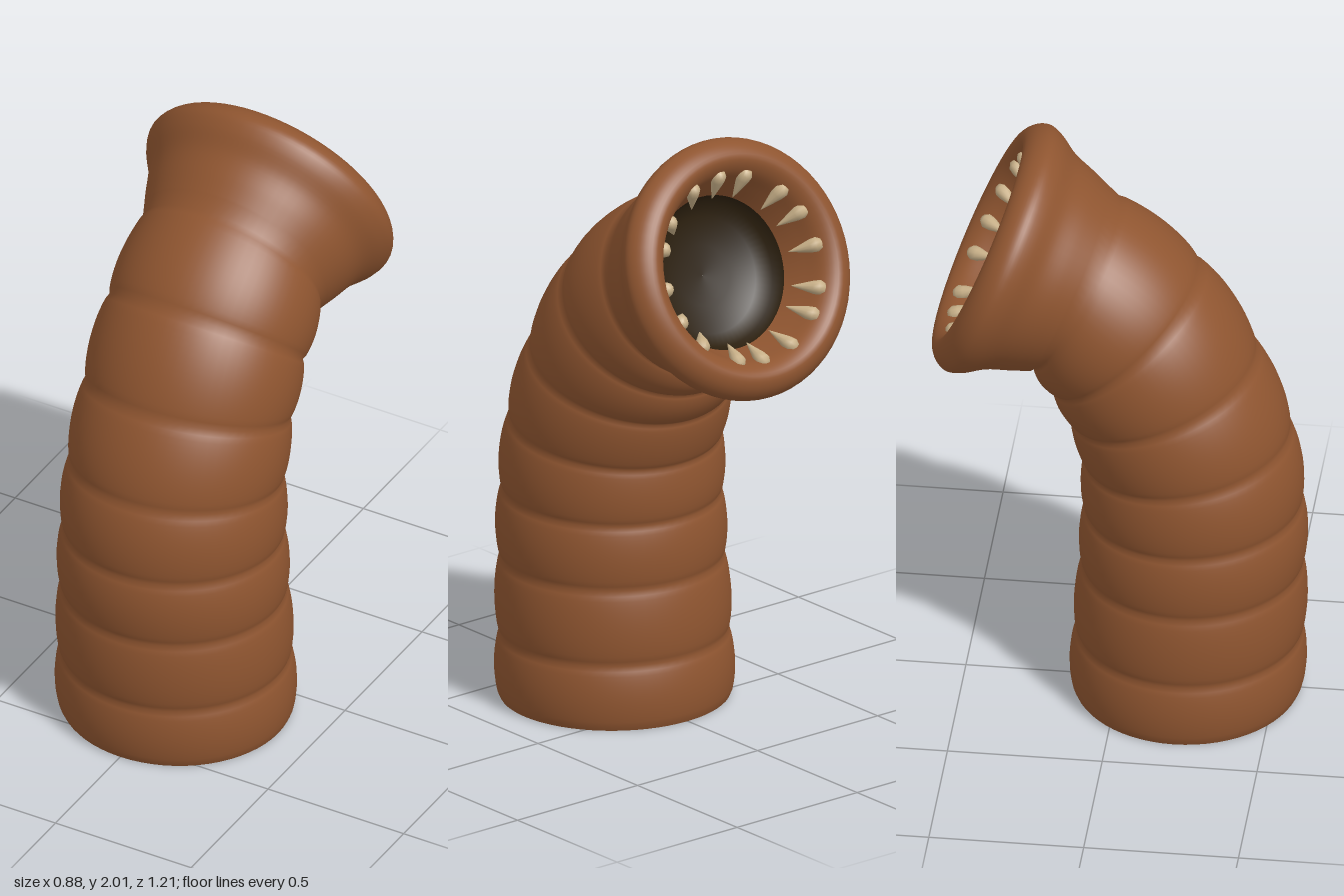
import * as THREE from 'three';

const SIDES = 64;
const V2 = (x, y) => new THREE.Vector2(x, y);
const V3 = (x, y, z) => new THREE.Vector3(x, y, z);

// Ring description: centre (z, y), elevation of the body axis in degrees, radii
const ring = (z, y, angle, rx, rn) => ({ z, y, a: THREE.MathUtils.degToRad(angle), rx, rn });

// Skin a list of elliptical rings with a smooth closed tube
function loft(rings) {
  const pos = [], idx = [];
  for (const { z, y, a, rx, rn } of rings) {
    for (let j = 0; j < SIDES; j++) {
      const t = (j / SIDES) * Math.PI * 2;
      const n = rn * Math.sin(t);
      pos.push(rx * Math.cos(t), y + n * Math.cos(a), z + n * Math.sin(a));
    }
  }
  for (let i = 0; i < rings.length - 1; i++) {
    for (let j = 0; j < SIDES; j++) {
      const k = (j + 1) % SIDES;
      const a = i * SIDES + j, b = i * SIDES + k;
      const c = a + SIDES, d = b + SIDES;
      idx.push(a, c, b, b, c, d);
    }
  }
  const geo = new THREE.BufferGeometry();
  geo.setAttribute('position', new THREE.Float32BufferAttribute(pos, 3));
  geo.setIndex(idx);
  geo.computeVertexNormals();
  return geo;
}

// Grooves between body segments: z, y, axis angle, half width, half depth
const GROOVES = [
  [0.215, 0, 90, 0.376, 0.364],
  [0.222, 0.215, 90, 0.370, 0.360],
  [0.232, 0.47, 89.5, 0.362, 0.352],
  [0.235, 0.695, 87.5, 0.354, 0.346],
  [0.215, 0.92, 81, 0.345, 0.333],
  [0.14, 1.145, 69, 0.337, 0.318],
  [0.02, 1.35, 49, 0.330, 0.312],
  [-0.142, 1.51, 27, 0.318, 0.302],
];

// Mouth frame
const HEAD = { z: -0.4, y: 1.62, angle: 23 };
const headRing = (d, r) => {
  const a = THREE.MathUtils.degToRad(HEAD.angle);
  return ring(HEAD.z - d * Math.cos(a), HEAD.y + d * Math.sin(a), HEAD.angle, r * 1.03, r);
};

function bodyRings() {
  const rings = [];
  const path = new THREE.CatmullRomCurve3(GROOVES.map(g => V3(0, g[1], g[0])), false, 'catmullrom');
  const size = new THREE.CatmullRomCurve3(GROOVES.map(g => V3(g[2], g[3], g[4])), false, 'catmullrom');
  const segments = GROOVES.length - 1, steps = 14;
  for (let i = 0; i <= segments * steps; i++) {
    const t = i / (segments * steps);
    const p = path.getPoint(t), s = size.getPoint(t);
    // Each segment swells quickly out of its groove
    const swell = 0.018 * Math.pow(Math.abs(Math.sin((i / steps) * Math.PI)), 0.6);
    rings.push(ring(p.z, p.y, s.x, s.y + swell, s.z + swell));
  }
  // Flared lip, rolled over into the mouth
  const lip = new THREE.SplineCurve([
    V2(-0.25, 0.322), V2(-0.19, 0.345), V2(-0.115, 0.372), V2(-0.05, 0.412),
    V2(0, 0.425), V2(0.045, 0.4), V2(0.065, 0.355), V2(0.035, 0.312),
    V2(-0.03, 0.28), V2(-0.1, 0.25),
  ]);
  for (const p of lip.getPoints(45)) rings.push(headRing(p.x, p.y));
  return rings;
}

export function createModel() {
  const model = new THREE.Group();
  model.name = 'wormCreature';

  const mat = (name, color) => {
    const m = new THREE.MeshStandardMaterial({ color });
    m.name = name;
    return m;
  };
  const skin = mat('brownSkin', 0x8f5530);
  const dark = mat('darkThroat', 0x2b1f0e);
  const bone = mat('boneTeeth', 0xc8b088);

  const add = (parent, name, geo, material) => {
    const mesh = new THREE.Mesh(geo, material);
    mesh.name = name;
    parent.add(mesh);
    return mesh;
  };

  // Segmented body with lip and inner mouth wall
  add(model, 'body', loft(bodyRings()), skin);

  // Flat underside
  const [bz, , , bx, bn] = GROOVES[0];
  const base = add(model, 'underside', new THREE.CircleGeometry(1, SIDES), skin);
  base.rotation.x = Math.PI / 2;
  base.scale.set(bx, bn, 1);
  base.position.z = bz;

  // Dark throat bowl
  const bowl = [[-0.1, 0.25], [-0.14, 0.235], [-0.17, 0.19], [-0.185, 0.1], [-0.19, 0.001]];
  add(model, 'throat', loft(bowl.map(([d, r]) => headRing(d, r))), dark);

  // Ring of teardrop teeth pointing into the mouth
  const teeth = new THREE.Group();
  teeth.name = 'teeth';
  teeth.position.set(0, HEAD.y, HEAD.z);
  teeth.rotation.x = THREE.MathUtils.degToRad(HEAD.angle);
  model.add(teeth);
  const toothGeo = new THREE.LatheGeometry([
    V2(0, -0.012), V2(0.016, -0.008), V2(0.025, 0.008), V2(0.022, 0.03),
    V2(0.012, 0.065), V2(0.005, 0.09), V2(0, 0.105),
  ], 12);
  const count = 16;
  for (let i = 0; i < count; i++) {
    const a = (i / count) * Math.PI * 2 + 0.05 * Math.sin(i * 2.3);
    const at = (r, d) => V3(r * 1.03 * Math.cos(a), r * Math.sin(a), -d);
    const root = at(0.312, 0.028), tip = at(0.235, -0.045);
    const tooth = add(teeth, 'tooth', toothGeo, bone);
    tooth.position.copy(root);
    tooth.quaternion.setFromUnitVectors(V3(0, 1, 0), tip.sub(root).normalize());
  }
  return model;
}
